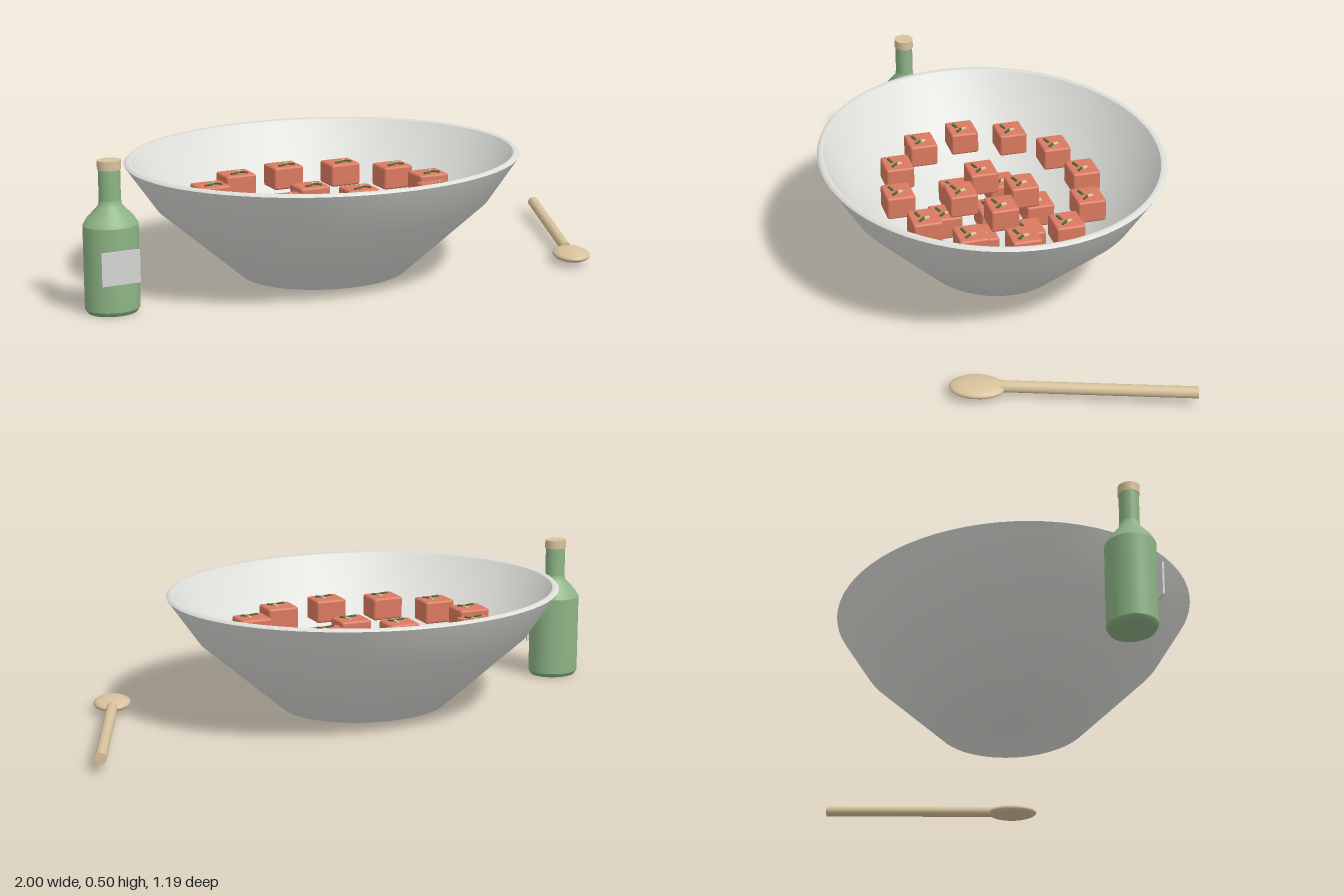
import * as THREE from 'three';
import { RoundedBoxGeometry } from 'three/addons/geometries/RoundedBoxGeometry.js';

const mat = (name, color) => {
  const m = new THREE.MeshStandardMaterial({ color });
  m.name = name;
  return m;
};

function add(parent, name, geometry, material, x = 0, y = 0, z = 0) {
  const mesh = new THREE.Mesh(geometry, material);
  mesh.name = name;
  mesh.position.set(x, y, z);
  parent.add(mesh);
  return mesh;
}

function group(parent, name, x = 0, y = 0, z = 0) {
  const g = new THREE.Group();
  g.name = name;
  g.position.set(x, y, z);
  parent.add(g);
  return g;
}

const lathe = (points, segments = 64) =>
  new THREE.LatheGeometry(points.map(([r, y]) => new THREE.Vector2(r, y)), segments);

export function createModel() {
  const model = new THREE.Group();
  model.name = 'saladSet';

  const ceramic = mat('ceramic', 0xdededa);
  const melon = mat('melon', 0xdb7a60);
  const herb = mat('herb', 0x4f6b3c);
  const seed = mat('seed', 0xe0cf9a);
  const glass = mat('greenGlass', 0x8db485);
  const paper = mat('paper', 0xd6d6d4);
  const wood = mat('wood', 0xd8c29c);

  // Oval bowl: outer wall, bevelled rim and inner wall
  const bowl = group(model, 'bowl', -0.095, 0, 0);
  bowl.scale.set(0.69, 1, 0.595);
  add(bowl, 'bowlOuterWall', lathe([[0, 0.008], [0.425, 0.01], [0.845, 0.26], [1, 0.412]], 72), ceramic);
  add(bowl, 'bowlRim', lathe([[1, 0.412], [0.985, 0.422], [0.965, 0.418]], 72), ceramic);
  add(bowl, 'bowlInnerWall', lathe([[0.965, 0.418], [0.81, 0.27], [0.42, 0.045], [0, 0.035]], 72), ceramic);

  // Melon cubes in rings, each with a small garnish on top
  const cubes = group(model, 'melonCubes', -0.095, 0, 0);
  const cubeGeo = new RoundedBoxGeometry(0.112, 0.08, 0.1, 2, 0.008);
  const seedGeo = new THREE.BoxGeometry(0.01, 0.006, 0.02);
  const leafGeo = new THREE.BoxGeometry(0.03, 0.006, 0.008);
  function cube(x, y, z) {
    const c = group(cubes, 'melonCube', x, y, z);
    add(c, 'cubeBody', cubeGeo, melon);
    add(c, 'seed', seedGeo, seed, 0.014, 0.042, -0.004).rotation.y = 0.3;
    add(c, 'herbLeaf', leafGeo, herb, -0.015, 0.042, 0.022).rotation.y = 0.25;
    add(c, 'herbLeaf', leafGeo, herb, 0.022, 0.042, 0.014).rotation.y = -0.8;
  }
  const rings = [
    // count, x radius, z radius, height, start angle
    [12, 0.405, 0.332, 0.272, 0],
    [6, 0.203, 0.166, 0.165, Math.PI / 6],
    [4, 0.135, 0.11, 0.245, 0],
    [1, 0, 0, 0.165, 0],
  ];
  for (const [count, rx, rz, y, start] of rings) {
    for (let i = 0; i < count; i++) {
      const a = start + (i / count) * Math.PI * 2;
      cube(Math.cos(a) * rx, y, Math.sin(a) * rz);
    }
  }

  // Bottle with cap and flat label
  const bottle = group(model, 'bottle', -0.91, 0, 0.115);
  const body = group(bottle, 'bottleBody');
  body.scale.z = 0.87;
  add(body, 'bottleBase', lathe([[0, 0], [0.082, 0], [0.091, 0.014]], 40), glass);
  add(body, 'bottleWall', lathe([[0.091, 0.014], [0.091, 0.29]], 40), glass);
  add(body, 'bottleShoulder', lathe([[0.091, 0.29], [0.078, 0.312], [0.04, 0.352], [0.036, 0.37]], 40), glass);
  add(body, 'bottleNeck', new THREE.CylinderGeometry(0.036, 0.036, 0.11, 40), glass, 0, 0.42, 0);
  add(body, 'bottleCap', new THREE.CylinderGeometry(0.039, 0.039, 0.03, 40), wood, 0, 0.485, 0);
  add(bottle, 'bottleLabel', new THREE.BoxGeometry(0.13, 0.11, 0.006), paper, 0.002, 0.163, 0.081);

  // Wooden spoon: flattened bowl and straight handle
  const spoon = group(model, 'spoon');
  const tip = new THREE.Vector3(0.978, 0.047, -0.38);
  const root = new THREE.Vector3(0.755, 0.033, 0.21);
  const axis = tip.clone().sub(root);
  const head = add(spoon, 'spoonHead', new THREE.SphereGeometry(1, 32, 20), wood, 0.735, 0.03, 0.275);
  head.scale.set(0.064, 0.021, 0.09);
  head.rotation.y = Math.atan2(axis.x, axis.z);
  const mid = root.clone().add(tip).multiplyScalar(0.5);
  const handle = add(spoon, 'spoonHandle',
    new THREE.CylinderGeometry(0.019, 0.019, axis.length(), 20), wood, mid.x, mid.y, mid.z);
  handle.quaternion.setFromUnitVectors(new THREE.Vector3(0, 1, 0), axis.clone().normalize());

  return model;
}
